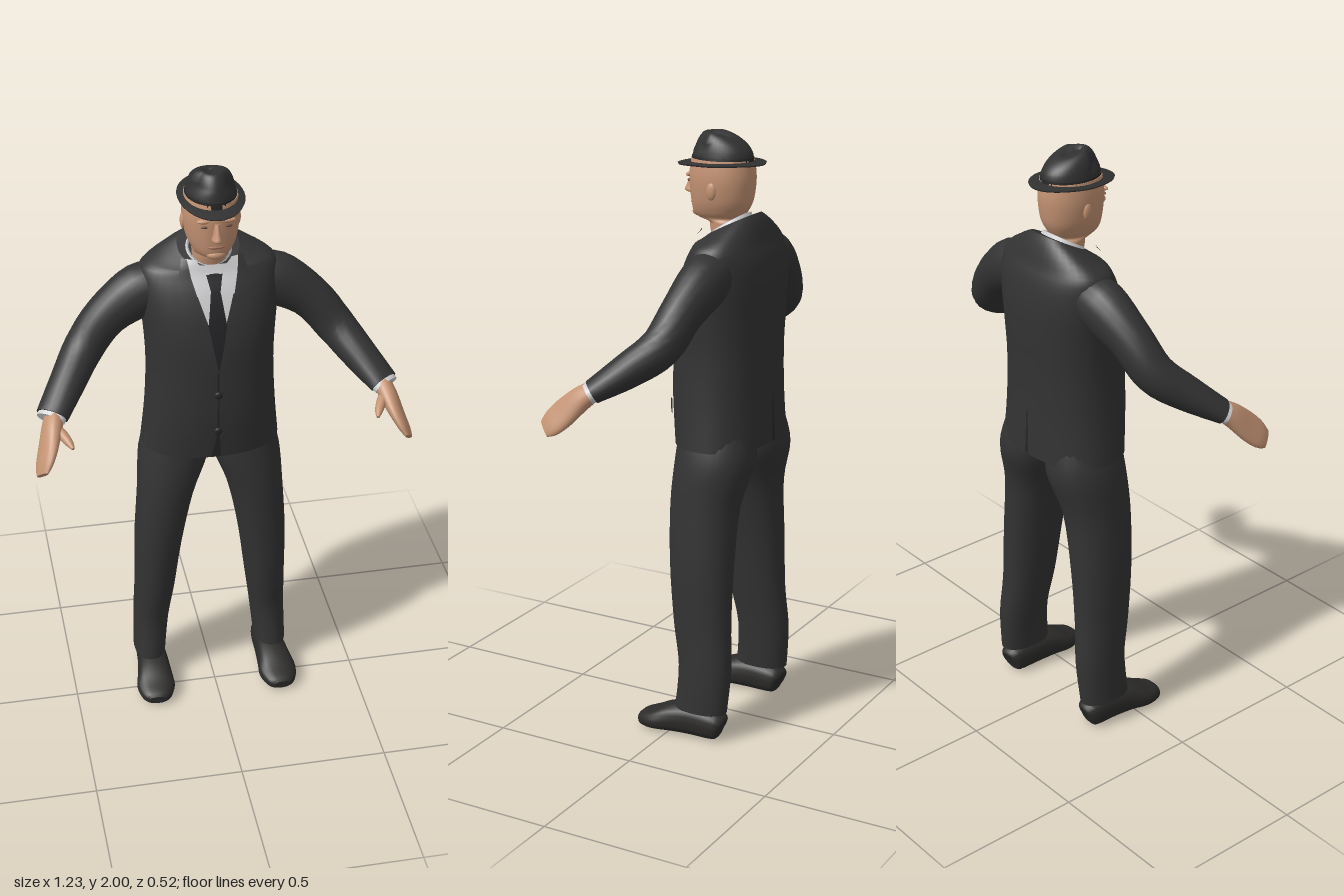
import * as THREE from 'three';

const mat = (name, color) => {
  const m = new THREE.MeshStandardMaterial({ color });
  m.name = name;
  return m;
};
const V = (x, y, z) => new THREE.Vector3(x, y, z);

// Catmull-Rom smoothing of a table of cross-section rows
function smooth(rows, div = 4) {
  const out = [], last = rows.length - 1;
  for (let i = 0; i < last; i++) {
    const p = rows[Math.max(i - 1, 0)], a = rows[i], b = rows[i + 1], q = rows[Math.min(i + 2, last)];
    for (let k = 0; k < div; k++) {
      const t = k / div;
      out.push(a.map((v, c) => {
        const cubic = 3 * (v - b[c]) + q[c] - p[c];
        const square = 2 * p[c] - 5 * v + 4 * b[c] - q[c];
        return v + 0.5 * t * (b[c] - p[c] + t * (square + t * cubic));
      }));
    }
  }
  out.push(rows[last]);
  return out;
}

// Superellipse rings joined into a skin with closed ends
function skin(frames, n = 2, seg = 28, rule = null) {
  const rings = frames.map(({ c, u, v }) => Array.from({ length: seg }, (_, i) => {
    const a = (i / seg) * Math.PI * 2, co = Math.cos(a), si = Math.sin(a);
    const p = c.clone()
      .addScaledVector(u, Math.sign(co) * Math.abs(co) ** (2 / n))
      .addScaledVector(v, Math.sign(si) * Math.abs(si) ** (2 / n));
    if (rule) rule(p);
    return p;
  }));
  const centre = (ring) => {
    const c = V(0, 0, 0);
    ring.forEach((p) => c.addScaledVector(p, 1 / seg));
    return ring.map(() => c);
  };
  const end = rings[rings.length - 1];
  const all = [centre(rings[0]), rings[0], ...rings, end, centre(end)];
  const index = [];
  for (let j = 0; j < all.length - 1; j++) {
    if (j === 1 || j === all.length - 3) continue;
    for (let i = 0; i < seg; i++) {
      const k = (i + 1) % seg, a = j * seg, b = a + seg;
      index.push(a + i, b + i, a + k, a + k, b + i, b + k);
    }
  }
  const g = new THREE.BufferGeometry().setFromPoints(all.flat());
  g.setIndex(index);
  g.computeVertexNormals();
  return g;
}

// Upright loft: rows of [y, x, halfWidth, z, halfDepth]
const upright = (rows, n, rule, seg) => skin(rows.map(([y, x, rx, z, rz]) => (
  { c: V(x, y, z), u: V(rx, 0, 0), v: V(0, 0, rz) })), n, seg, rule);

// Loft along a path: rows of [x, y, z, radius along ref, radius across]
function along(rows, s, ref, n = 2) {
  const pts = rows.map((r) => V(r[0] * s, r[1], r[2]));
  const up = V(ref[0] * s, ref[1], ref[2]);
  return skin(rows.map((r, i) => {
    const t = pts[Math.min(i + 1, pts.length - 1)].clone().sub(pts[Math.max(i - 1, 0)]).normalize();
    const v = up.clone().cross(t).normalize();
    const u = t.clone().cross(v);
    return { c: pts[i], u: u.multiplyScalar(r[3]), v: v.multiplyScalar(r[4]) };
  }), n, 20);
}

const TORSO = smooth([
  [1.0, 0, 0.232, -0.105, 0.155], [1.15, 0, 0.217, -0.095, 0.16], [1.3, 0, 0.21, -0.095, 0.16],
  [1.42, 0, 0.215, -0.1, 0.16], [1.52, 0, 0.225, -0.11, 0.15], [1.6, 0, 0.228, -0.12, 0.13],
  [1.655, 0, 0.215, -0.125, 0.105], [1.69, 0, 0.15, -0.12, 0.088], [1.71, 0, 0.1, -0.115, 0.075]]);
const TORSO_N = 2.3;

// Depth of the jacket surface at (x, y), front (+1) or back (-1)
function torsoZ(x, y, dir) {
  let i = 0;
  while (i < TORSO.length - 2 && TORSO[i + 1][0] < y) i++;
  const a = TORSO[i], b = TORSO[i + 1];
  const t = THREE.MathUtils.clamp((y - a[0]) / (b[0] - a[0]), 0, 1);
  const [, , rx, z, rz] = a.map((v, c) => v + (b[c] - v) * t);
  return z + dir * rz * Math.max(0, 1 - Math.abs(x / rx) ** TORSO_N) ** (1 / TORSO_N);
}

// Thin cloth piece following the jacket: rows of [x0, x1, y], top to bottom
function patch(rows, s, off, dir = 1) {
  const pts = [], index = [], cols = 6, fine = [];
  for (let i = 0; i < rows.length - 1; i++) {
    for (let k = 0; k < 5; k++) fine.push(rows[i].map((v, c) => v + (rows[i + 1][c] - v) * k / 5));
  }
  fine.push(rows[rows.length - 1]);
  fine.forEach(([x0, x1, y], j) => {
    for (let i = 0; i <= cols; i++) {
      const x = s * (x0 + (x1 - x0) * i / cols);
      pts.push(V(x, y, torsoZ(x, y, dir) + dir * off));
      if (j && i) {
        const d = j * (cols + 1) + i, c = d - 1, b = d - cols - 1, a = b - 1;
        if (s * dir > 0) index.push(a, c, b, b, c, d);
        else index.push(a, b, c, b, d, c);
      }
    }
  });
  const g = new THREE.BufferGeometry().setFromPoints(pts);
  g.setIndex(index);
  g.computeVertexNormals();
  return g;
}

export function createModel() {
  const model = new THREE.Group();
  model.name = 'manInSuit';
  const suit = mat('charcoal suit', 0x333333), dark = mat('dark trim', 0x262627);
  const felt = mat('hat felt', 0x313131), leather = mat('shoe leather', 0x2c2b2a);
  const tie = mat('tie cloth', 0x232327), shirt = mat('white shirt', 0xd0d0d2);
  const skinTone = mat('skin', 0xc49373), lip = mat('lips', 0xa06a58), brow = mat('eyes', 0x6b4a3a);
  const add = (name, geo, m) => {
    const mesh = new THREE.Mesh(geo, m);
    mesh.name = name;
    model.add(mesh);
    return mesh;
  };
  const ball = (name, m, p, r) => {
    const mesh = add(name, new THREE.SphereGeometry(1, 16, 10), m);
    mesh.position.set(...p);
    mesh.scale.set(...r);
  };

  // Jacket body, higher at the nape than at the throat
  add('jacket', upright(TORSO, TORSO_N, (p) => {
    if (p.y > 1.66) p.y -= (p.z + 0.115) * 0.5 * (p.y - 1.66) / 0.05;
  }, 40), suit);
  add('shirtCollar', upright([[1.67, 0, 0.088, -0.105, 0.068], [1.71, 0, 0.072, -0.1, 0.063],
    [1.712, 0, 0.066, -0.098, 0.058], [1.67, 0, 0.066, -0.098, 0.058]], 2, (p) => { p.y -= (p.z + 0.1) * 0.6; }), shirt);
  add('shirtFront', patch([[-0.08, 0.08, 1.68], [-0.06, 0.06, 1.6], [-0.028, 0.028, 1.5], [-0.004, 0.004, 1.36]], 1, 0.003), shirt);
  add('tie', patch([[-0.02, 0.02, 1.655], [-0.014, 0.014, 1.615], [-0.03, 0.03, 1.5], [-0.006, 0.006, 1.35]], 1, 0.008), tie);
  add('tieKnot', patch([[-0.026, 0.026, 1.655], [-0.016, 0.016, 1.61]], 1, 0.013), tie);
  add('frontSeam', patch([[-0.003, 0.003, 1.35], [-0.003, 0.003, 1.1], [-0.02, 0.012, 1.003]], 1, 0.002), dark);
  add('backVent', patch([[-0.003, 0.003, 1.16], [-0.008, 0.008, 1.003]], 1, 0.002, -1), dark);
  for (const y of [1.25, 1.11]) ball('button', dark, [0, y, torsoZ(0, y, 1) + 0.003], [0.013, 0.013, 0.006]);

  // Head and face
  add('head', upright(smooth([[1.62, 0, 0.058, -0.1, 0.05], [1.695, 0, 0.058, -0.088, 0.055], [1.715, 0, 0.058, -0.085, 0.057],
    [1.727, 0, 0.056, -0.062, 0.078], [1.745, 0, 0.068, -0.062, 0.092], [1.78, 0, 0.082, -0.068, 0.103],
    [1.83, 0, 0.09, -0.07, 0.109], [1.87, 0, 0.09, -0.07, 0.11], [1.915, 0, 0.084, -0.07, 0.104]]), 2.1), skinTone);
  add('nose', upright(smooth([[1.795, 0, 0.013, 0.034, 0.012], [1.803, 0, 0.018, 0.042, 0.026],
    [1.82, 0, 0.013, 0.04, 0.022], [1.855, 0, 0.008, 0.034, 0.012]], 3), 2, null, 14), skinTone);
  ball('chin', skinTone, [0, 1.74, 0.012], [0.032, 0.018, 0.024]);
  ball('mouth', lip, [0, 1.771, 0.03], [0.027, 0.006, 0.008]);
  for (const s of [1, -1]) {
    ball('eye', brow, [s * 0.036, 1.843, 0.03], [0.014, 0.005, 0.005]);
    ball('browRidge', skinTone, [s * 0.036, 1.862, 0.027], [0.026, 0.008, 0.011]);
    ball('ear', skinTone, [s * 0.088, 1.82, -0.075], [0.009, 0.028, 0.017]);
  }

  // Hat: brim lifted at the sides and back, crown falling to the rear with a crease
  add('hatBrim', upright([[1.89, 0, 0.08, -0.07, 0.1], [1.888, 0, 0.103, -0.066, 0.148],
    [1.894, 0, 0.106, -0.066, 0.151], [1.902, 0, 0.08, -0.07, 0.1]], 2, (p) => {
    p.y += 0.9 * p.x * p.x + Math.max(0, -p.z - 0.08) * 0.1;
  }, 36), felt);
  add('hatBand', upright([[1.896, 0, 0.085, -0.07, 0.107], [1.922, 0, 0.081, -0.07, 0.104]], 2, null, 36), dark);
  add('hatCrown', upright(smooth([[1.895, 0, 0.083, -0.07, 0.105], [1.94, 0, 0.076, -0.071, 0.099],
    [1.975, 0, 0.065, -0.071, 0.084], [1.995, 0, 0.05, -0.067, 0.064], [1.999, 0, 0.034, -0.062, 0.045],
    [1.988, 0, 0.012, -0.062, 0.03]], 3), 2, (p) => {
    if (p.y > 1.93) p.y -= Math.max(0, -p.z - 0.05) * 0.28 * (p.y - 1.93) / 0.07;
    if (p.z > -0.04 && p.y > 1.95) p.x *= 0.85;
  }, 36), felt);

  for (const s of [1, -1]) {
    const side = s > 0 ? 'left' : 'right';
    // Lapels, shirt collar wings and pocket flaps
    add(side + 'CollarWing', patch([[0.06, 0.085, 1.7], [0.014, 0.076, 1.655], [0.045, 0.06, 1.595]], s, 0.01), shirt);
    add(side + 'Lapel', patch([[0.082, 0.1, 1.7], [0.07, 0.12, 1.62], [0.045, 0.115, 1.55],
      [0.03, 0.095, 1.5], [0, 0.02, 1.34]], s, 0.012), suit);
    add(side + 'PocketFlap', patch([[0.09, 0.18, 1.15], [0.085, 0.18, 1.1]], s, 0.009), suit);

    // Arms, cuffs and hands
    add(side + 'Sleeve', along(smooth([[0.13, 1.59, -0.125, 0.06, 0.075], [0.22, 1.56, -0.125, 0.088, 0.08],
      [0.335, 1.485, -0.11, 0.072, 0.068], [0.415, 1.39, -0.08, 0.066, 0.065],
      [0.478, 1.32, 0.0, 0.056, 0.06], [0.543, 1.254, 0.092, 0.037, 0.055]]), s, [0, 1, 0]), suit);
    add(side + 'ShirtCuff', along([[0.535, 1.262, 0.081, 0.034, 0.05], [0.55, 1.247, 0.102, 0.032, 0.049]], s, [0, 1, 0]), shirt);
    add(side + 'Hand', along(smooth([[0.538, 1.255, 0.092, 0.034, 0.028], [0.55, 1.228, 0.13, 0.042, 0.029],
      [0.57, 1.182, 0.178, 0.05, 0.022], [0.587, 1.147, 0.213, 0.046, 0.016],
      [0.596, 1.128, 0.236, 0.032, 0.008]]), s, [-0.04, 0.05, 0.06], 2.2), skinTone);
    add(side + 'Thumb', along(smooth([[0.545, 1.23, 0.12, 0.02, 0.02], [0.52, 1.222, 0.16, 0.018, 0.017],
      [0.503, 1.212, 0.195, 0.013, 0.013], [0.494, 1.205, 0.22, 0.005, 0.005]]), s, [0, 1, 0]), skinTone);

    // Trousers and shoes
    add(side + 'TrouserLeg', upright(smooth([[0.1, 0.22, 0.055, -0.112, 0.093], [0.25, 0.21, 0.061, -0.122, 0.093],
      [0.4, 0.197, 0.069, -0.105, 0.1], [0.6, 0.182, 0.081, -0.095, 0.11], [0.8, 0.155, 0.095, -0.093, 0.118],
      [0.95, 0.122, 0.117, -0.113, 0.134], [1.06, 0.11, 0.1, -0.11, 0.12]])
      .map(([y, x, ...r]) => [y, x * s, ...r]), 2.2), suit);
    add(side + 'Shoe', along(smooth([[0.213, 0.045, -0.19, 0.03, 0.03], [0.214, 0.05, -0.17, 0.049, 0.047],
      [0.215, 0.056, -0.08, 0.055, 0.053], [0.218, 0.05, -0.01, 0.049, 0.06], [0.222, 0.036, 0.05, 0.035, 0.067],
      [0.225, 0.028, 0.098, 0.025, 0.05], [0.226, 0.026, 0.115, 0.015, 0.03]]), s, [0, 1, 0], 2.5), leather);
  }
  return model;
}
